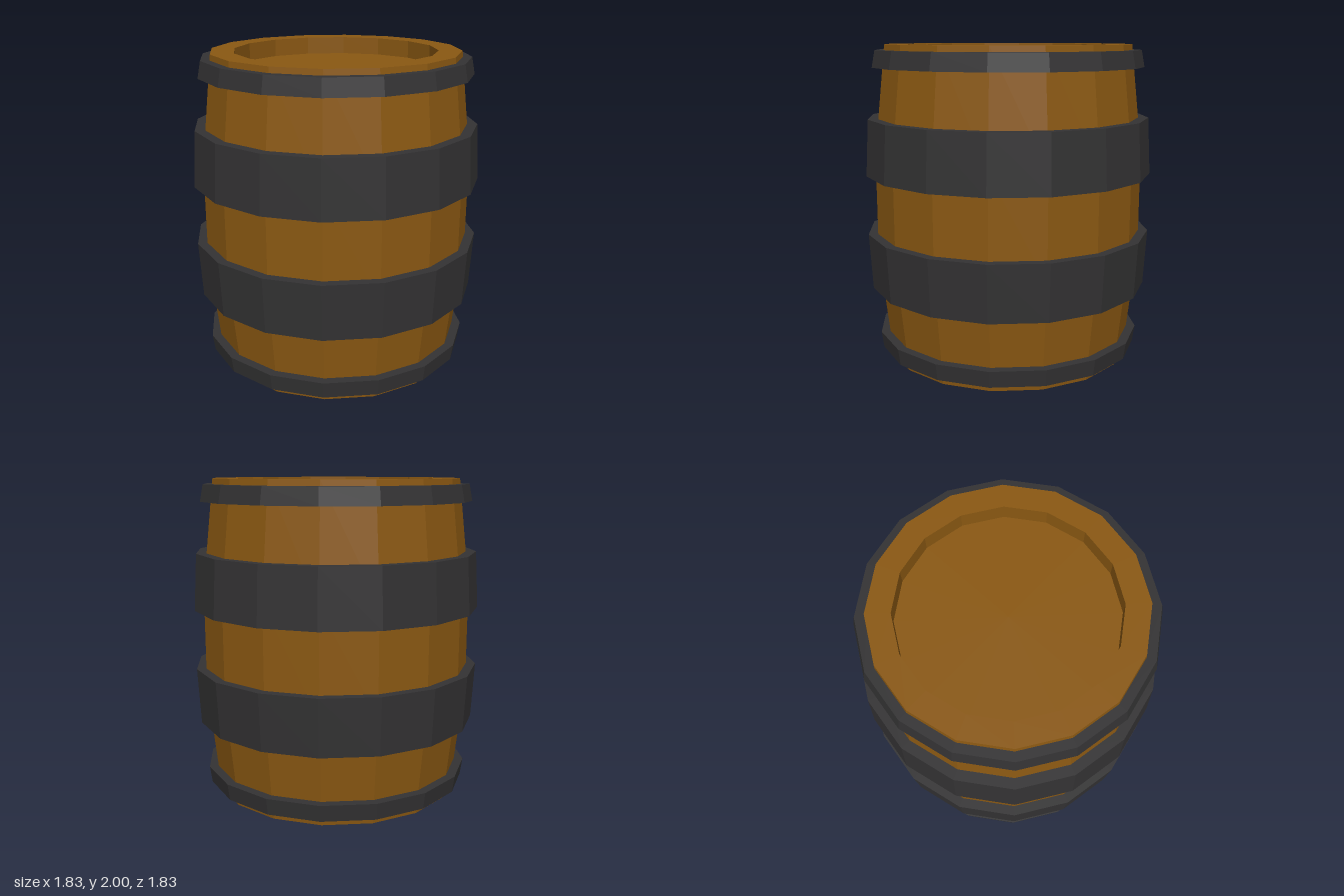
import * as THREE from 'three';

const SIDES = 16;
const wood = new THREE.MeshStandardMaterial({ color: 0x8a5812, flatShading: true });
const iron = new THREE.MeshStandardMaterial({ color: 0x333233, flatShading: true });

// Faceted body of revolution; the profile runs counter-clockwise as [radius, y]
function turned(name, profile, material) {
  const points = profile.map(([r, y]) => new THREE.Vector2(r, y));
  const mesh = new THREE.Mesh(new THREE.LatheGeometry(points, SIDES), material);
  mesh.name = name;
  return mesh;
}

// Solid tapered hoop whose inner edge is buried in the staves
function hoop(name, y0, r0, y1, r1) {
  const inner = 0.77;
  return turned(name, [[inner, y0], [r0, y0], [r1, y1], [inner, y1]], iron);
}

export function createModel() {
  const barrel = new THREE.Group();
  barrel.name = 'barrel';

  // Bulging body with a recessed head at each end
  const lower = [[0, 0.11], [0.635, 0.11], [0.635, 0], [0.78, 0], [0.855, 0.68]];
  const upper = lower.map(([r, y]) => [r, 2 - y]).reverse();
  barrel.add(turned('body', [...lower, ...upper], wood));

  // Hoops, mirrored about mid height, each wider towards the middle
  barrel.add(
    hoop('lowerEndHoop', 0.05, 0.84, 0.155, 0.855),
    hoop('lowerWideHoop', 0.46, 0.895, 0.815, 0.915),
    hoop('upperWideHoop', 1.19, 0.915, 1.545, 0.895),
    hoop('upperEndHoop', 1.86, 0.86, 1.965, 0.84)
  );
  return barrel;
}
